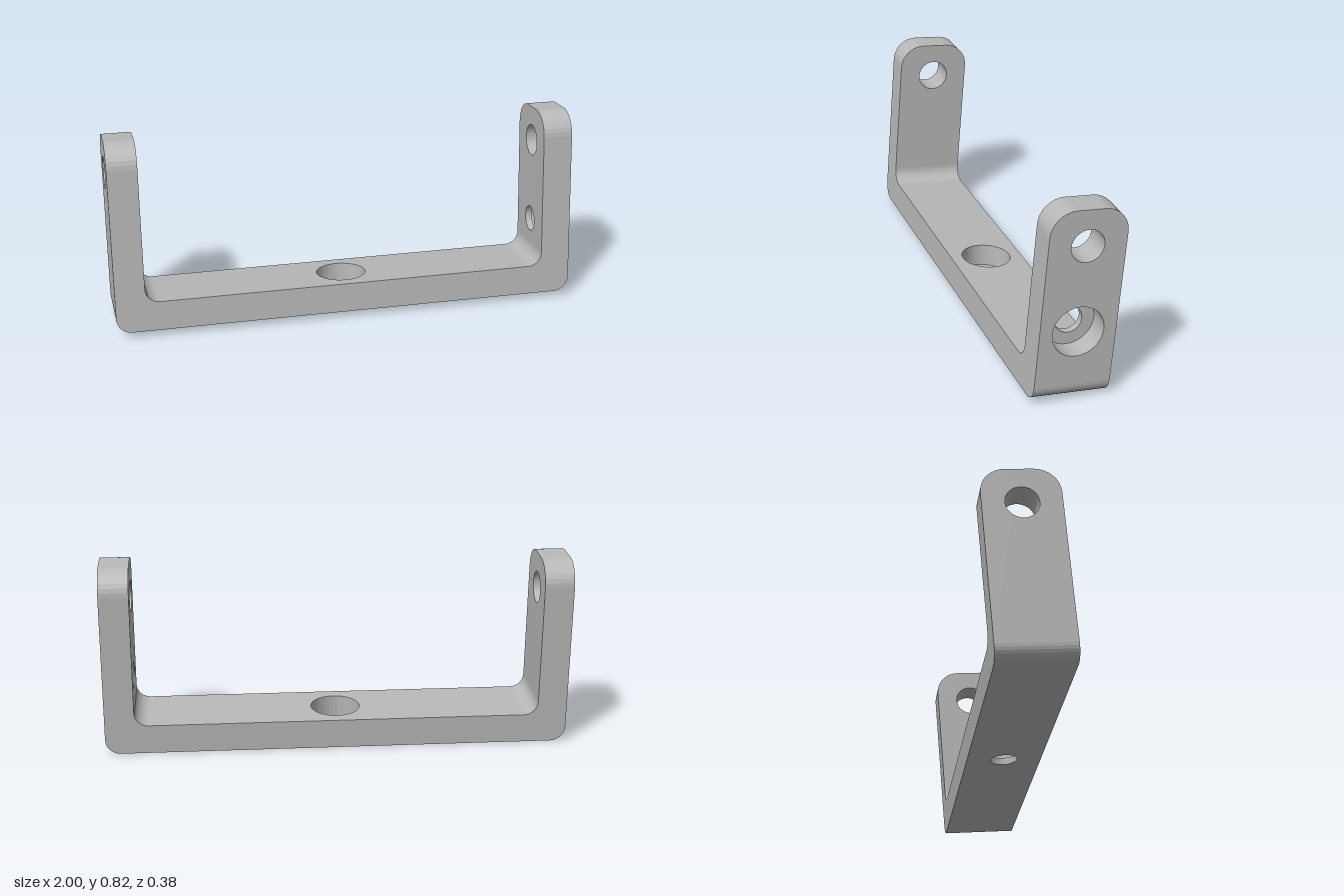
import * as THREE from 'three';
import { mergeGeometries } from 'three/addons/utils/BufferGeometryUtils.js';

// Main dimensions
const T = 0.127;            // plate thickness
const XI = 1 - T;           // inner face of the arms
const D = 0.159;            // half depth
const H = 0.81;             // arm height
const R = 0.103;            // rounded arm tops
const RO = 0.065, RI = 0.06; // outer bend, inner fillet
const R_PIVOT = 0.068, R_BORE = 0.107, R_BOLT = 0.056, LIP = 0.03;
const PIVOT_Y = 0.661, BOLT_Y = 0.298;
const Q = Math.PI / 2;

function arc(cx, cy, r, a0, a1, n = 8) {
  const pts = [];
  for (let i = 0; i <= n; i++) {
    const a = a0 + (a1 - a0) * i / n;
    pts.push(new THREE.Vector2(cx + r * Math.cos(a), cy + r * Math.sin(a)));
  }
  return pts;
}
// Clockwise circle, so that its band faces inwards
const hole = (cy, r) => arc(0, cy, r, 2 * Math.PI, 0, 36);
const pt = (x, y) => new THREE.Vector2(x, y);
const rect = (x, y) => [pt(-x, -y), pt(x, -y), pt(x, y), pt(-x, y)];

// Flat face at height c, facing +c or -c
function face(outline, holes, c, up = true) {
  const shape = new THREE.Shape(outline);
  shape.holes = holes.map(h => new THREE.Path(h.slice(0, -1)));
  const g = new THREE.ShapeGeometry(shape).toNonIndexed();
  g.deleteAttribute('uv');
  g.deleteAttribute('normal');
  if (!up) g.rotateY(Math.PI); // outlines are symmetric left to right
  return g.translate(0, 0, c);
}

// Wall along a path from c0 to c1, facing right of the path
function band(pts, c0, c1) {
  const v = [];
  for (let i = 0; i < pts.length - 1; i++) {
    const p = pts[i], q = pts[i + 1];
    v.push(p.x, p.y, c0, q.x, q.y, c0, q.x, q.y, c1);
    v.push(p.x, p.y, c0, q.x, q.y, c1, p.x, p.y, c1);
  }
  const g = new THREE.BufferGeometry();
  g.setAttribute('position', new THREE.Float32BufferAttribute(v, 3));
  return g;
}

// Stepped bolt hole: wide from the top, narrow through the lip at the bottom
function boltHole(cy, bottom, top) {
  const step = bottom + LIP;
  return [
    band(hole(cy, R_BORE), step, top),
    band(hole(cy, R_BOLT), bottom, step),
    face(hole(cy, R_BORE).reverse().slice(0, -1), [hole(cy, R_BOLT)], step),
  ];
}

// Arm, drawn with its outer side facing +z
function arm(bolted) {
  const top = [...arc(D - R, H - R, R, 0, Q), ...arc(R - D, H - R, R, Q, 2 * Q)];
  const outline = y => [pt(-D, y), pt(D, y), ...top];
  const pivot = hole(PIVOT_Y, R_PIVOT);
  const outer = [pivot], inner = [pivot];
  const parts = [band(top, XI, 1), band(pivot, XI, 1)];
  if (bolted) {
    outer.push(hole(BOLT_Y, R_BORE));
    inner.push(hole(BOLT_Y, R_BOLT));
    parts.push(...boltHole(BOLT_Y, XI, 1));
  }
  parts.push(face(outline(RO), outer, 1), face(outline(T + RI), inner, XI, false));
  return mergeGeometries(parts);
}

export function createModel() {
  const metal = new THREE.MeshStandardMaterial({ color: 0xb8b8b8 });
  metal.name = 'grey metal';
  const bracket = new THREE.Group();
  bracket.name = 'bracket';
  const add = (name, geometry) => {
    geometry.computeVertexNormals();
    const mesh = new THREE.Mesh(geometry, metal);
    mesh.name = name;
    bracket.add(mesh);
  };

  // Arms: only the left (+x) one has the bolt hole
  add('leftArm', arm(true).rotateY(Q));
  add('rightArm', arm(false).rotateY(-Q));

  // Base bar with a stepped hole in the middle
  add('base', mergeGeometries([
    face(rect(XI - RI, D), [hole(0, R_BORE)], T),
    face(rect(1 - RO, D), [hole(0, R_BOLT)], 0, false),
    ...boltHole(0, 0, T),
  ]).rotateX(-Q));

  // Rounded bends outside and fillets inside
  const bends = [
    arc(RO - 1, RO, RO, 2 * Q, 3 * Q),
    arc(1 - RO, RO, RO, 3 * Q, 4 * Q),
    arc(XI - RI, T + RI, RI, 0, -Q),
    arc(RI - XI, T + RI, RI, -Q, -2 * Q),
  ];
  add('bends', mergeGeometries(bends.map(b => band(b, -D, D))));

  // U-shaped front and back edges, up to the rounded arm tops
  const y1 = H - R;
  const profile = [
    ...bends[0], ...bends[1], pt(1, y1), pt(XI, y1),
    ...bends[2], ...bends[3], pt(-XI, y1), pt(-1, y1),
  ];
  add('frontAndBackEdges', mergeGeometries([
    face(profile, [], D), face(profile, [], -D, false),
  ]));

  // The whole bracket leans slightly back
  bracket.rotation.x = -0.0825;
  bracket.position.set(0, 0.0131, 0.029);
  const model = new THREE.Group();
  model.name = 'mountingBracket';
  model.add(bracket);
  return model;
}
